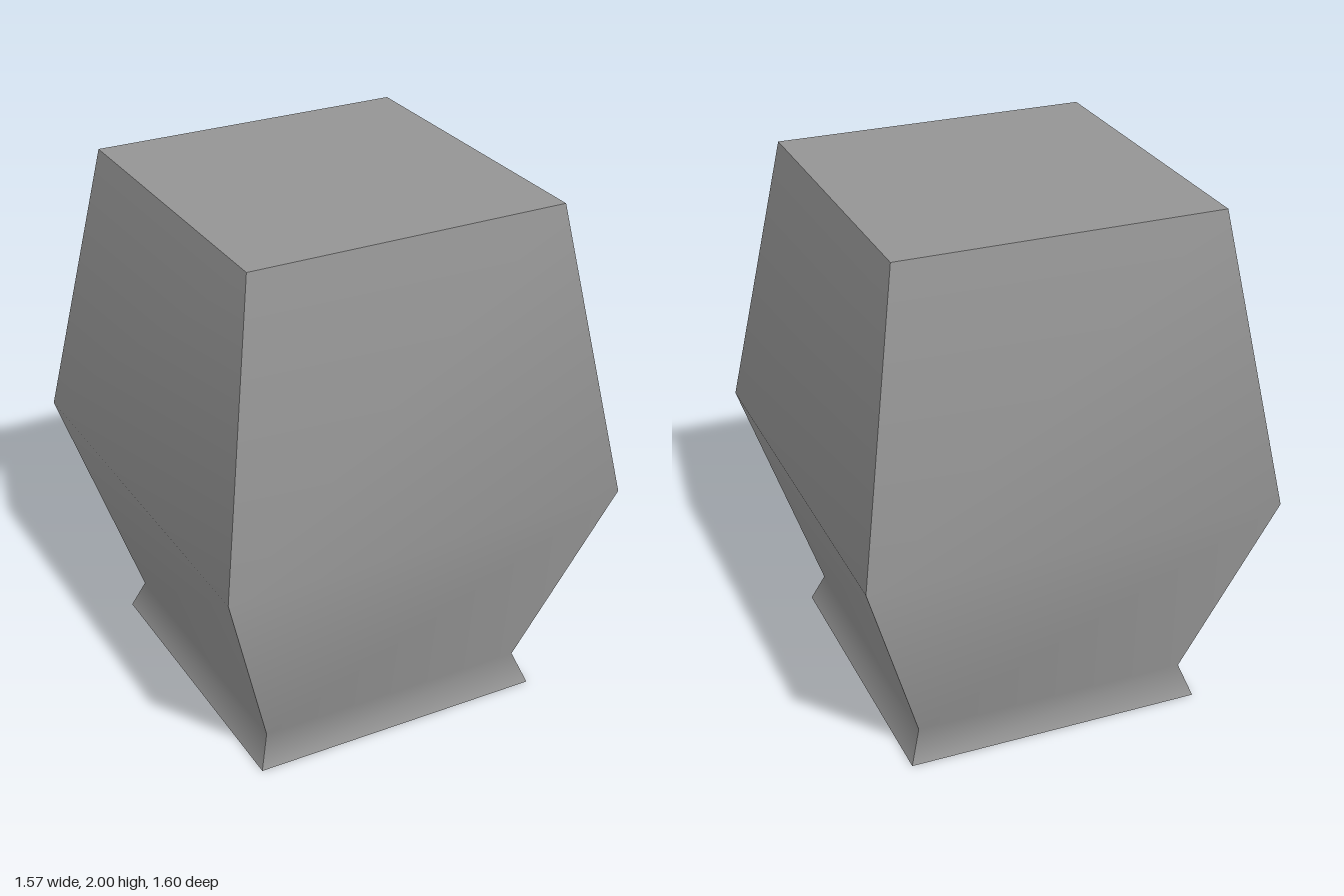
import * as THREE from 'three';

// Cross-sections from the foot to the top: height, right x, left x, half depth
const rings = [
  { y: 0, x0: -0.58, x1: 0.57, z: 0.607 },
  { y: 0.12, x0: -0.537, x1: 0.525, z: 0.56 },
  { y: 0.91, x0: -0.785, x1: 0.785, z: 0.8 },
  { y: 2, x0: -0.603, x1: 0.603, z: 0.613 },
];

// Four corners of a ring, counter-clockwise seen from above
const corners = ({ y, x0, x1, z }) => [[x0, y, z], [x1, y, z], [x1, y, -z], [x0, y, -z]];

function surface(points, index) {
  const geometry = new THREE.BufferGeometry();
  geometry.setAttribute('position', new THREE.Float32BufferAttribute(points.flat(), 3));
  geometry.setIndex(index);
  geometry.computeVertexNormals();
  return geometry;
}

// One side: smooth up its height, with sharp edges at the corners
function sidePanel(side) {
  const points = [];
  const index = [];
  rings.forEach((ring, i) => {
    const c = corners(ring);
    points.push(c[side], c[(side + 1) % 4]);
    if (i > 0) {
      const a = 2 * i - 2;
      index.push(a, a + 1, a + 3, a, a + 3, a + 2);
    }
  });
  return surface(points, index);
}

export function createModel() {
  const grey = new THREE.MeshStandardMaterial({ color: 0x959595 });
  grey.name = 'grey';
  const model = new THREE.Group();
  model.name = 'flaredBlock';

  const add = (name, geometry) => {
    const mesh = new THREE.Mesh(geometry, grey);
    mesh.name = name;
    model.add(mesh);
  };

  // Bulging walls with a flared foot
  ['frontWall', 'leftWall', 'backWall', 'rightWall'].forEach((name, i) => add(name, sidePanel(i)));

  // Flat ends
  add('topFace', surface(corners(rings[rings.length - 1]), [0, 1, 2, 0, 2, 3]));
  add('bottomFace', surface(corners(rings[0]), [0, 2, 1, 0, 3, 2]));
  return model;
}
